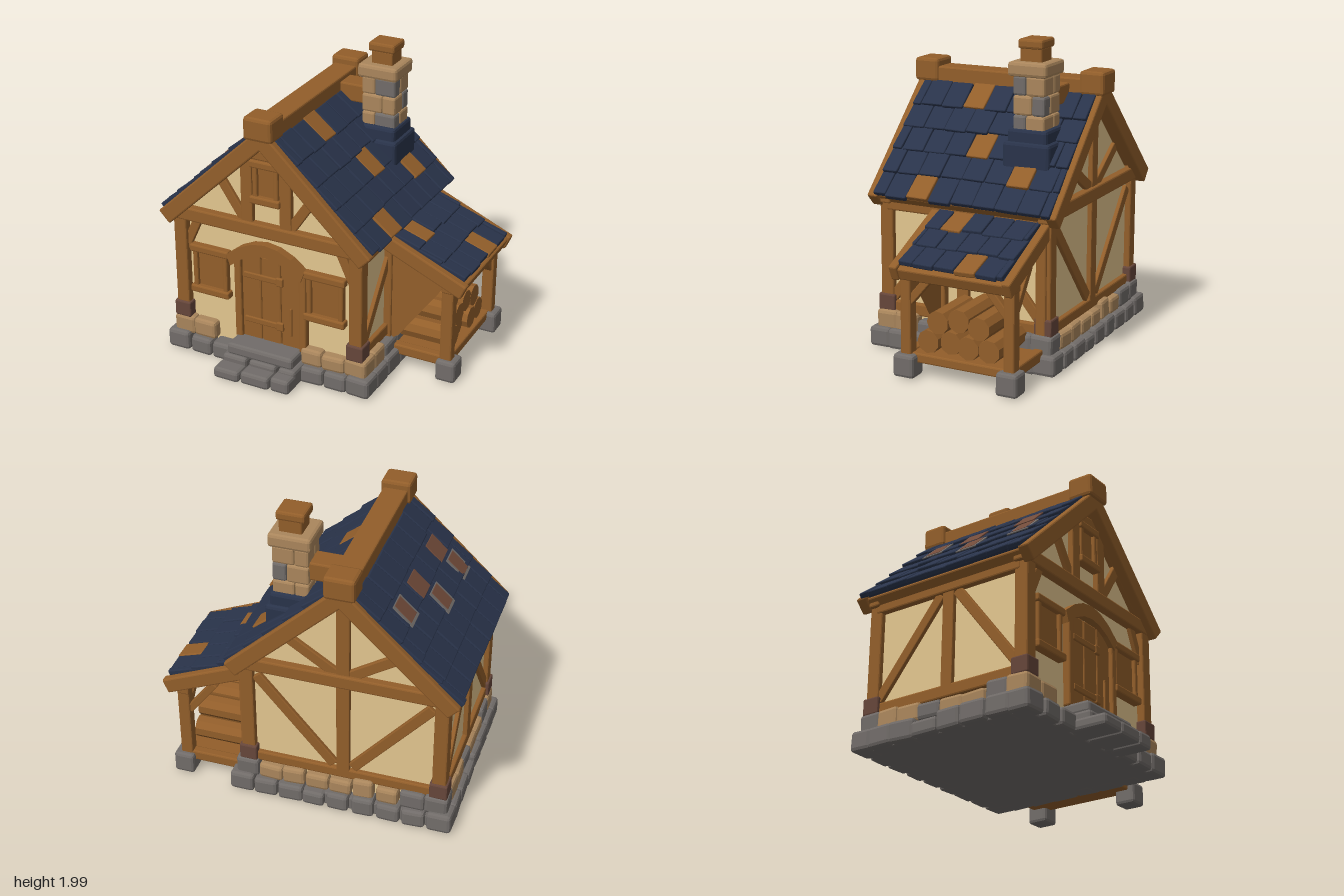
import * as THREE from 'three';
import { RoundedBoxGeometry } from 'three/addons/geometries/RoundedBoxGeometry.js';

const paint = (name, color) =>
  Object.assign(new THREE.MeshStandardMaterial({ color, flatShading: true }), { name });

export function createModel() {
  const wood = paint('wood', 0x925e2a), dark = paint('dark wood', 0x66463a);
  const plaster = paint('plaster', 0xe3c68f), slate = paint('slate', 0x29334a);
  const grey = paint('grey stone', 0x716c69), tan = paint('tan stone', 0xaa865c);
  const clay = paint('clay patch', 0x724b3a);

  const model = new THREE.Group();
  model.name = 'cottage';
  let seed = 7;
  const rnd = () => (seed = (seed * 16807) % 2147483647) / 2147483647;
  const jit = (a) => (rnd() - 0.5) * 2 * a;

  const add = (name, geo, mat, parent = model) => {
    const m = new THREE.Mesh(geo, mat);
    m.name = name;
    parent.add(m);
    return m;
  };
  const group = (name, parent = model) => {
    const g = new THREE.Group();
    g.name = name;
    parent.add(g);
    return g;
  };
  // Chamfered block given by its minimum and maximum corners
  const block = (name, mat, x0, x1, y0, y1, z0, z1, parent = model, bevel = 0.01) => {
    const w = x1 - x0, h = y1 - y0, d = z1 - z0;
    const m = add(name, new RoundedBoxGeometry(w, h, d, 1, Math.min(bevel, w / 3, h / 3, d / 3)), mat, parent);
    m.position.set((x0 + x1) / 2, (y0 + y1) / 2, (z0 + z1) / 2);
    return m;
  };
  // Timber between two points; sx and sz are its cross-section
  const up = new THREE.Vector3(0, 1, 0);
  const bar = (name, a, b, sx, sz, parent = model) => {
    const p = new THREE.Vector3(...a), q = new THREE.Vector3(...b);
    const len = p.distanceTo(q);
    const m = add(name, new RoundedBoxGeometry(sx, len, sz, 1, 0.006), wood, parent);
    m.position.copy(p).add(q).multiplyScalar(0.5);
    m.quaternion.setFromUnitVectors(up, q.sub(p).normalize());
  };
  const plate = (name, mat, shape, z0, z1, parent = model) => {
    const geo = new THREE.ExtrudeGeometry(shape, { depth: z1 - z0, bevelEnabled: false, curveSegments: 6 });
    add(name, geo, mat, parent).position.z = z0;
  };
  const poly = (pts) => new THREE.Shape(pts.map((p) => new THREE.Vector2(...p)));

  const CX = -0.23, APEX = 1.685, PITCH = Math.atan(0.95);

  // Plastered walls with gables
  plate('walls', plaster, poly([[-0.86, 0.1], [0.4, 0.1], [0.4, 0.97], [CX, 1.57], [-0.86, 0.97]]), -0.64, 0.45);

  // Stone footing: a grey course and a mostly tan course above it
  const footing = group('footing');
  block('floorSlab', grey, -0.9, 0.48, 0.01, 0.1, -0.7, 0.5, footing);
  const course = (y0, y1, out, tanShare, skipDoor) => {
    const x0 = -0.9 - out, x1 = 0.46 + out, z0 = -0.69 - out, z1 = 0.5 + out;
    const run = (from, to, place) => {
      const n = Math.round((to - from) / 0.16);
      for (let i = 0; i < n; i++) {
        const a = from + ((to - from) * i) / n, b = from + ((to - from) * (i + 1)) / n;
        const edge = i === 0 || i === n - 1;
        place(a + (edge ? 0 : jit(0.02)), b - 0.003, edge ? 0.015 : jit(0.018));
      }
    };
    const stone = (share, ...c) => {
      const m = block('footingStone', rnd() < share ? tan : grey, ...c, footing, 0.022);
      m.rotation.set(jit(0.04), jit(0.04), jit(0.04));
    };
    run(x0, x1, (a, b, j) => {
      stone(tanShare, a, b, y0, y1 + j, z0, z0 + 0.15);
      if (!(skipDoor && b > -0.46 && a < 0.0)) stone(tanShare && 1, a, b, y0, y1 + j, z1 - 0.15, z1);
    });
    run(z0 + 0.13, z1 - 0.13, (a, b, j) => {
      stone(tanShare, x0, x0 + 0.15, y0, y1 + j, a, b);
      stone(tanShare && (a > 0.2 ? 1 : 0.3), x1 - 0.15, x1, y0, y1 + j, a, b);
    });
  };
  course(0.01, 0.125, 0.05, 0, false);
  course(0.12, 0.235, 0.015, 0.8, true);

  // Entrance steps
  const steps = group('steps');
  [[-0.49, -0.31], [-0.3, -0.1], [-0.09, 0.04]].forEach(([a, b], i) => {
    block('lowerStep', grey, a, b, 0.01, 0.085 + i * 0.01, 0.5, 0.75 - i * 0.01, steps, 0.02);
    block('middleStep', grey, a + 0.01, b, 0.03, 0.13, 0.45, 0.645, steps, 0.02);
  });
  block('topStep', grey, -0.46, 0.01, 0.12, 0.2, 0.42, 0.62, steps, 0.02);

  // Timber frame: corner posts, plates and sills
  const frame = group('timberFrame');
  for (const x of [-0.85, 0.39]) for (const z of [0.455, -0.635]) {
    block('cornerPost', wood, x - 0.045, x + 0.045, 0.2, 1.0, z - 0.045, z + 0.045, frame);
    block('postBase', dark, x - 0.058, x + 0.058, 0.24, 0.35, z - 0.058, z + 0.058, frame);
  }
  for (const z of [0.46, -0.645]) block('tieBeam', wood, -0.92, 0.46, 0.945, 1.035, z - 0.045, z + 0.045, frame);
  block('backSill', wood, -0.85, 0.39, 0.23, 0.3, -0.67, -0.6, frame);
  for (const x of [-0.86, 0.4]) {
    block('sideSill', wood, x - 0.03, x + 0.03, 0.23, 0.31, -0.63, 0.45, frame);
    block('wallPlate', wood, x - 0.04, x + 0.04, 0.9, 0.99, -0.63, 0.45, frame);
    bar('sidePost', [x, 0.25, -0.08], [x, 0.95, -0.08], 0.06, 0.08, frame);
    bar('sideBrace', [x, 0.33, 0.42], [x, 0.9, -0.02], 0.05, 0.065, frame);
    bar('sideBrace', [x, 0.33, -0.6], [x, 0.9, -0.14], 0.05, 0.065, frame);
  }
  // Back timbers
  bar('backPost', [CX, 0.25, -0.64], [CX, 1.56, -0.64], 0.085, 0.06, frame);
  for (const s of [-1, 1]) {
    bar('backBrace', [CX + s * 0.56, 0.9, -0.64], [CX + s * 0.06, 0.32, -0.64], 0.07, 0.05, frame);
    bar('backGableBrace', [CX + s * 0.34, 1.22, -0.64], [CX + s * 0.03, 1.02, -0.64], 0.07, 0.05, frame);
    // Front gable and corner braces
    bar('gablePost', [CX + s * 0.135, 1.0, 0.455], [CX + s * 0.135, 1.46, 0.455], 0.08, 0.06, frame);
    bar('gableBrace', [CX + s * 0.34, 1.3, 0.45], [CX + s * 0.16, 1.03, 0.45], 0.065, 0.05, frame);
    bar('cornerBrace', [CX + s * 0.6, 0.74, 0.45], [CX + s * 0.5, 0.96, 0.45], 0.06, 0.05, frame);
  }
  block('collarBeam', wood, -0.4, -0.06, 1.46, 1.525, 0.42, 0.485, frame);

  // Windows
  const windowAt = (name, x0, x1, y0, y1) => {
    const g = group(name);
    block('shutter', wood, x0 + 0.03, x1 - 0.03, y0 + 0.03, y1 - 0.03, 0.43, 0.468, g);
    for (const x of [x0 + 0.015, x1 - 0.05]) block('jamb', wood, x, x + 0.035, y0, y1, 0.43, 0.49, g);
    block('lintel', wood, x0, x1, y1 - 0.05, y1, 0.43, 0.5, g);
    block('sill', wood, x0, x1, y0, y0 + 0.05, 0.43, 0.505, g);
  };
  windowAt('leftWindow', 0.03, 0.315, 0.44, 0.78);
  windowAt('rightWindow', -0.785, -0.505, 0.44, 0.78);
  windowAt('gableWindow', -0.335, -0.125, 1.17, 1.46);

  // Door with arched lintel and strap hinges
  const door = group('door');
  for (let i = 0; i < 3; i++) block('doorPlank', wood, -0.42 + i * 0.14, -0.282 + i * 0.14, 0.19, 0.8, 0.43, 0.472, door);
  for (const x of [-0.465, -0.005]) block('doorJamb', wood, x, x + 0.05, 0.19, 0.76, 0.43, 0.495, door);
  const arch = new THREE.Shape();
  arch.moveTo(-0.51, 0.77);
  arch.quadraticCurveTo(-0.235, 1.03, 0.04, 0.77);
  arch.lineTo(0.015, 0.7);
  arch.quadraticCurveTo(-0.235, 0.93, -0.485, 0.7);
  plate('doorArch', wood, arch, 0.43, 0.505, door);
  for (const y of [0.33, 0.65]) {
    block('hinge', wood, -0.4, -0.14, y - 0.02, y + 0.02, 0.465, 0.484, door);
    block('hingeEnd', wood, -0.17, -0.12, y - 0.03, y + 0.03, 0.465, 0.488, door);
  }
  block('handle', wood, -0.075, -0.06, 0.28, 0.48, 0.465, 0.485, door);

  // Roof slopes: local x runs down the slope, local y is outward
  const slopeGroup = (name, x, y, pitch, side) => {
    const outer = group(name), g = group('slope', outer);
    outer.position.set(x, y, 0);
    outer.rotation.y = side > 0 ? 0 : Math.PI;
    g.rotation.z = -pitch;
    return g;
  };
  // One course per entry of offsets, which shifts its joints
  const tiles = (g, s0, s1, offsets, count, z0, z1, side, wooden) => {
    const step = (s1 - s0) / offsets.length, w = (z1 - z0) / count;
    offsets.forEach((off, r) => {
      for (let i = 0; i <= count; i++) {
        const a = Math.max(z0, z0 + (i - off) * w), b = Math.min(z1, z0 + (i + 1 - off) * w);
        if (b - a < 0.02) continue;
        const plank = wooden.some(([row, z]) => row === r && z >= a && z < b);
        const m = add('roofTile', new RoundedBoxGeometry(step + 0.03, 0.035, b - a - 0.004, 1, 0.007), plank ? wood : slate, g);
        m.position.set(s0 + (r + 0.5) * step + jit(0.008), 0.012 + jit(0.004), side * (a + b) / 2);
        m.rotation.set(jit(0.025), jit(0.025), 0.09);
      }
    });
  };
  const planks = [[0, 0.07], [2, -0.09], [3, -0.43], [4, 0.19]];
  const patches = [[0.41, -0.45, 1], [0.585, -0.08, 1], [0.41, -0.165, 0], [0.585, 0.31, 1], [0.41, 0.255, 0]];
  for (const side of [1, -1]) {
    const g = slopeGroup(side > 0 ? 'leftRoof' : 'rightRoof', CX, APEX, PITCH, side);
    const zz = (a, b) => (side > 0 ? [a, b] : [-b, -a]);
    block('roofDeck', wood, 0.02, 0.98, -0.055, -0.008, ...zz(-0.71, 0.51), g);
    block('underlay', slate, 0.1, 0.97, -0.009, 0.004, ...zz(-0.7, 0.5), g, 0.002);
    for (const [a, b] of [[0.48, 0.55], [-0.74, -0.67]])
      block('bargeBoard', wood, 0.03, 1.01, -0.095, 0.012, ...zz(a, b), g);
    block('eaveBoard', wood, 0.94, 0.99, -0.085, -0.008, ...zz(-0.7, 0.51), g);
    tiles(g, 0.11, 0.99, [0.4, 0, 0.46, 0.71, 0.6], 8, -0.705, 0.505, side, side > 0 ? planks : []);
    // Weathered patches on the right slope, some with a grey rim
    if (side < 0) for (const [s, z, rim] of patches) {
      const h = rim ? 0.055 : 0.075;
      if (rim) block('patchRim', grey, s - 0.085, s + 0.085, 0.03, 0.038, -z - 0.075, -z + 0.075, g, 0.002);
      block('roofPatch', clay, s - 0.08, s + 0.065, 0.033, 0.041, -z - h, -z + h, g, 0.002);
    }
  }

  // Ridge beam with end blocks
  block('ridgeBeam', wood, -0.31, -0.15, 1.58, 1.72, -0.65, 0.45);
  for (const [a, b] of [[0.4, 0.57], [-0.755, -0.59]]) block('ridgeEnd', wood, -0.33, -0.135, 1.62, 1.77, a, b, model, 0.02);

  // Chimney
  const chimney = group('chimney');
  block('flashingLower', slate, -0.01, 0.285, 1.2, 1.38, -0.59, -0.275, chimney, 0.02);
  block('flashingUpper', slate, 0.0, 0.265, 1.36, 1.46, -0.565, -0.3, chimney, 0.02);
  for (let r = 0; r < 3; r++) for (let i = 0; i < 2; i++) for (let k = 0; k < 2; k++) {
    const xm = 0.135 + (r % 2 ? 0.025 : -0.025), zm = -0.435 + (r % 2 ? -0.02 : 0.02);
    block('chimneyStone', i && (r + k) % 2 ? grey : tan,
      i ? xm : 0.02, i ? 0.25 : xm, 1.42 + r * 0.12, 1.54 + r * 0.12, k ? zm : -0.54, k ? -0.33 : zm, chimney, 0.014);
  }
  block('chimneyCap', tan, 0.0, 0.27, 1.775, 1.865, -0.56, -0.3, chimney, 0.02);
  block('chimneyPot', wood, 0.07, 0.215, 1.85, 1.95, -0.505, -0.36, chimney);
  block('chimneyPotRim', wood, 0.05, 0.23, 1.94, 2.0, -0.515, -0.35, chimney, 0.015);
  block('chimneyTie', wood, -0.16, 0.03, 1.57, 1.69, -0.52, -0.37, chimney);

  // Lean-to woodshed
  const shed = group('woodshed');
  for (const z of [0.07, -0.62]) {
    block('shedFoot', grey, 0.775, 0.91, 0.01, 0.155, z - 0.07, z + 0.07, shed, 0.02);
    block('shedPost', wood, 0.79, 0.87, 0.14, 0.7, z - 0.035, z + 0.035, shed);
    block('floorBeam', wood, 0.44, 0.85, 0.1, 0.17, z - 0.03, z + 0.03, shed);
    block('wallStud', wood, 0.39, 0.45, 0.2, 0.9, z - 0.035, z + 0.035, shed);
    bar('shedBrace', [0.83, 0.46, z], [0.83, 0.65, z - Math.sign(z) * 0.16], 0.05, 0.05, shed);
  }
  bar('rearBrace', [0.8, 0.5, -0.62], [0.62, 0.74, -0.62], 0.05, 0.05, shed);
  plate('sidePanel', wood, poly([[0.42, 0.18], [0.5, 0.24], [0.8, 0.66], [0.8, 0.72], [0.42, 0.88]]), 0.06, 0.09, shed);
  block('shedFloor', wood, 0.43, 0.85, 0.1, 0.16, -0.63, 0.08, shed);
  block('shedBeam', wood, 0.79, 0.87, 0.63, 0.69, -0.66, 0.11, shed);
  const roof = slopeGroup('shedRoof', 0.42, 0.935, 0.41, 1);
  block('shedDeck', wood, 0, 0.56, -0.055, -0.008, -0.64, 0.1, roof);
  block('shedUnderlay', slate, 0, 0.53, -0.009, 0.004, -0.62, 0.08, roof, 0.002);
  for (const [a, b] of [[0.075, 0.13], [-0.67, -0.615]]) block('shedBarge', wood, 0, 0.585, -0.085, 0.015, a, b, roof);
  block('shedFascia', wood, 0.53, 0.575, -0.085, -0.005, -0.65, 0.11, roof);
  tiles(roof, 0.01, 0.54, [0.78, 0.2, 0.7], 5, -0.615, 0.075, 1, [[0, -0.09], [2, -0.36]]);

  // Stacked logs
  const logs = group('logs', shed);
  const log = (y, z) => {
    const m = add('log', new THREE.CylinderGeometry(0.073, 0.073, 0.36, 9), wood, logs);
    m.rotation.z = Math.PI / 2;
    m.position.set(0.63 + jit(0.02), y, z);
  };
  for (let i = 0; i < 4; i++) log(0.236, -0.06 - i * 0.135);
  for (let i = 0; i < 3; i++) log(i === 1 ? 0.392 : 0.365, -0.127 - i * 0.135);

  return model;
}
